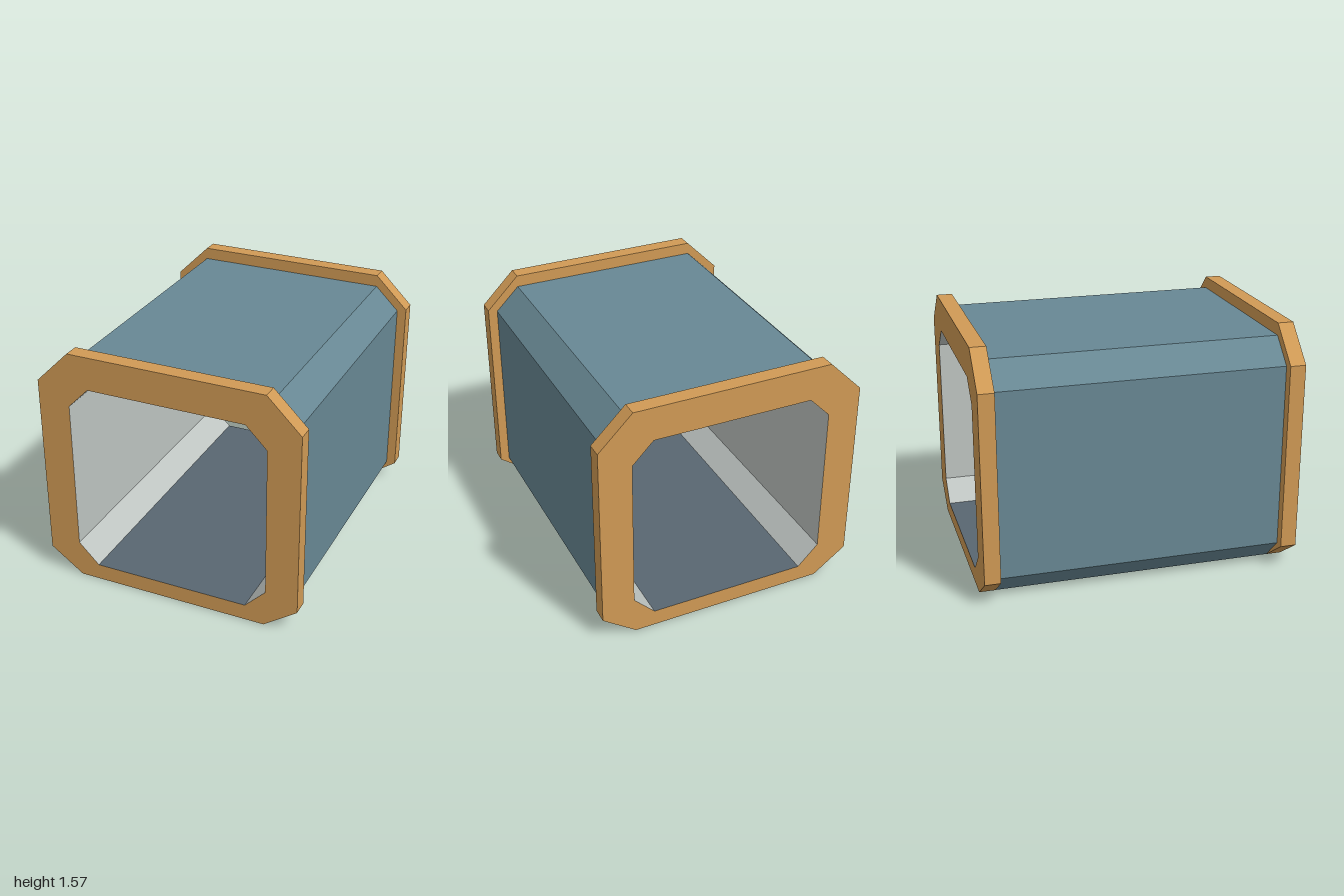
import * as THREE from 'three';

const mat = (name, color) => {
  const m = new THREE.MeshStandardMaterial({ color });
  m.name = name;
  return m;
};

// Octagon, counter-clockwise from the left end of the bottom edge
const octagon = (flatX, sideX, bottom, low, high, top) => [
  [-flatX, bottom], [flatX, bottom], [sideX, low], [sideX, high],
  [flatX, top], [-flatX, top], [-sideX, high], [-sideX, low],
].map(([x, y]) => new THREE.Vector2(x, y));

// Flat quads along z for the chosen outline edges, facing outward or inward
function band(points, z0, z1, inward, edges) {
  const pos = [];
  for (const i of edges) {
    const a = points[i], b = points[(i + 1) % points.length];
    const [p, q] = inward ? [b, a] : [a, b];
    pos.push(p.x, p.y, z1, p.x, p.y, z0, q.x, q.y, z0);
    pos.push(p.x, p.y, z1, q.x, q.y, z0, q.x, q.y, z1);
  }
  const g = new THREE.BufferGeometry();
  g.setAttribute('position', new THREE.Float32BufferAttribute(pos, 3));
  g.computeVertexNormals();
  return g;
}

export function createModel() {
  const model = new THREE.Group();
  model.name = 'corridorSection';

  const frameMat = mat('orange frame', 0xd09a55);
  const shellMat = mat('blue grey shell', 0x688894);
  const liningMat = mat('pale grey lining', 0xbfc5c2);
  const floorMat = mat('slate floor', 0x596771);

  const add = (parent, name, geometry, material) => {
    const mesh = new THREE.Mesh(geometry, material);
    mesh.name = name;
    parent.add(mesh);
    return mesh;
  };

  const rim = octagon(0.632, 0.847, 0, 0.155, 1.352, 1.565);
  const hole = octagon(0.507, 0.64, 0.105, 0.24, 1.217, 1.352);
  const hull = octagon(0.632, 0.787, 0.001, 0.155, 1.336, 1.488);
  const all = [0, 1, 2, 3, 4, 5, 6, 7];

  // Outer shell between the two frames
  add(model, 'outerShell', band(hull, -0.9, 0.9, false, all), shellMat);

  // Inner lining and floor run the full length, flush with the openings
  add(model, 'innerLining', band(hole, -1, 1, true, all.slice(1)), liningMat);
  add(model, 'floor', band(hole, -1, 1, true, [0]), floorMat);

  // End frames: two flat faces and an outer rim each
  const face = new THREE.Shape(rim);
  face.holes.push(new THREE.Path(hole));
  const faceGeo = new THREE.ShapeGeometry(face);
  for (const [name, z0] of [['frontFrame', 0.9], ['backFrame', -1]]) {
    const frame = new THREE.Group();
    frame.name = name;
    add(frame, name + 'Rim', band(rim, z0, z0 + 0.1, false, all), frameMat);
    add(frame, name + 'FrontFace', faceGeo, frameMat).position.z = z0 + 0.1;
    const rear = add(frame, name + 'RearFace', faceGeo, frameMat);
    rear.rotation.y = Math.PI;
    rear.position.z = z0;
    model.add(frame);
  }

  return model;
}
